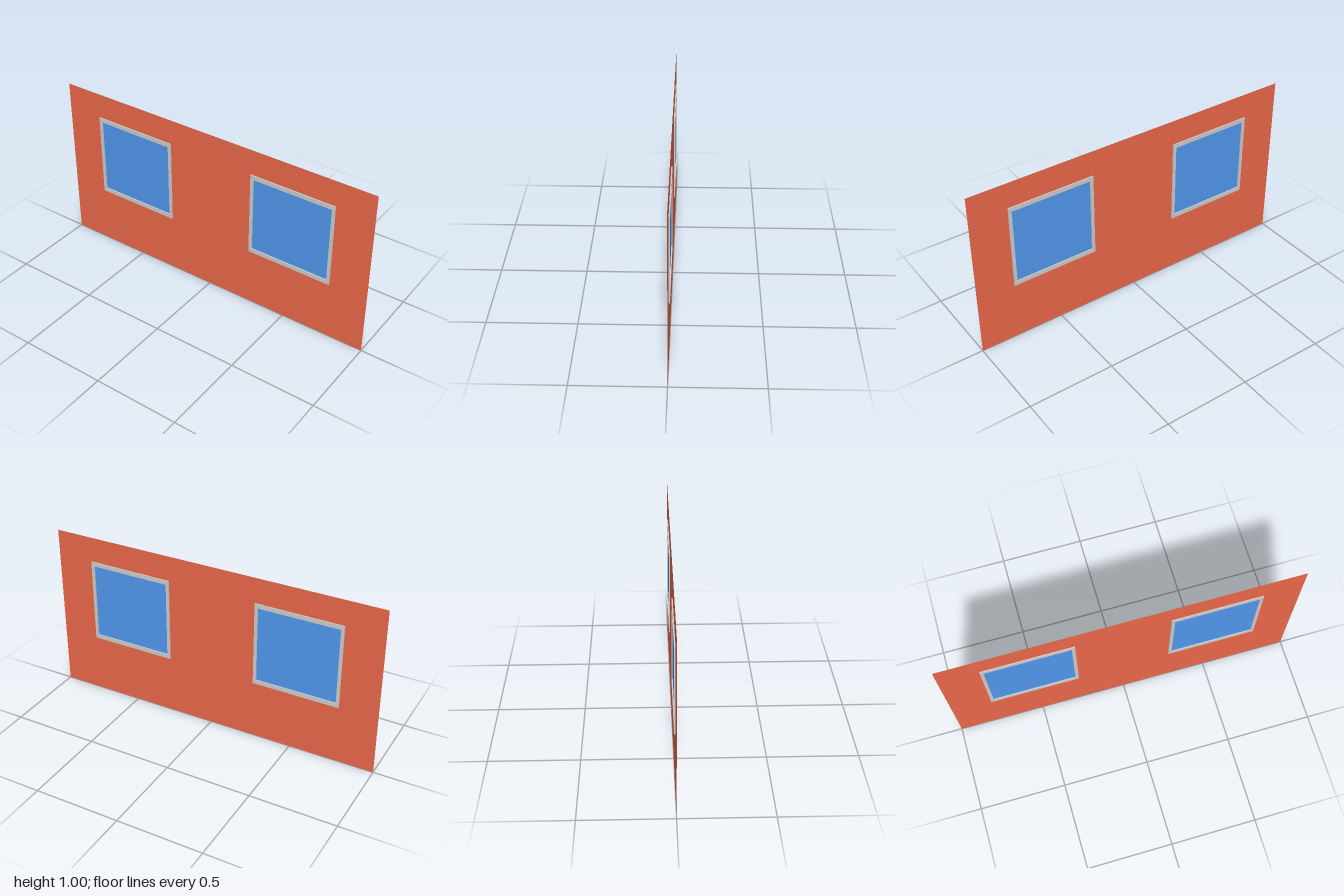
import * as THREE from 'three';

const WINDOW_Z = 0.521, WINDOW_Y = 0.601;   // window centres
const OUTER = [0.512, 0.5], INNER = [0.475, 0.45];
const DEPTH = 0.014;

// Trace a centred rectangle into a Shape or Path
function rect(path, cx, cy, w, h) {
  path.moveTo(cx - w / 2, cy - h / 2);
  path.lineTo(cx + w / 2, cy - h / 2);
  path.lineTo(cx + w / 2, cy + h / 2);
  path.lineTo(cx - w / 2, cy + h / 2);
  path.closePath();
  return path;
}

function addPart(parent, name, geometry, material) {
  const mesh = new THREE.Mesh(geometry.rotateY(Math.PI / 2), material);
  mesh.name = name;
  parent.add(mesh);
}

export function createModel() {
  const model = new THREE.Group();
  model.name = 'wallPanel';
  const brick = new THREE.MeshStandardMaterial({ color: 0xe96749, side: THREE.DoubleSide });
  const glass = new THREE.MeshStandardMaterial({ color: 0x5096eb, side: THREE.DoubleSide });
  const grey = new THREE.MeshStandardMaterial({ color: 0xcccccc });

  // Thin wall with two window openings
  const wall = rect(new THREE.Shape(), 0, 0.5, 2, 1);
  for (const s of [-1, 1]) wall.holes.push(rect(new THREE.Path(), s * WINDOW_Z, WINDOW_Y, ...INNER));
  addPart(model, 'wall', new THREE.ShapeGeometry(wall), brick);

  // Windows: a frame standing proud on both sides, with a pane in the middle
  for (const s of [-1, 1]) {
    const unit = new THREE.Group();
    unit.name = s > 0 ? 'frontWindow' : 'backWindow';
    unit.position.set(0, WINDOW_Y, s * WINDOW_Z);

    const frame = rect(new THREE.Shape(), 0, 0, ...OUTER);
    frame.holes.push(rect(new THREE.Path(), 0, 0, ...INNER));
    const frameGeometry = new THREE.ExtrudeGeometry(frame, { depth: DEPTH, bevelEnabled: false });
    addPart(unit, 'windowFrame', frameGeometry.translate(0, 0, -DEPTH / 2), grey);
    addPart(unit, 'windowPane', new THREE.PlaneGeometry(...INNER), glass);
    model.add(unit);
  }
  return model;
}
